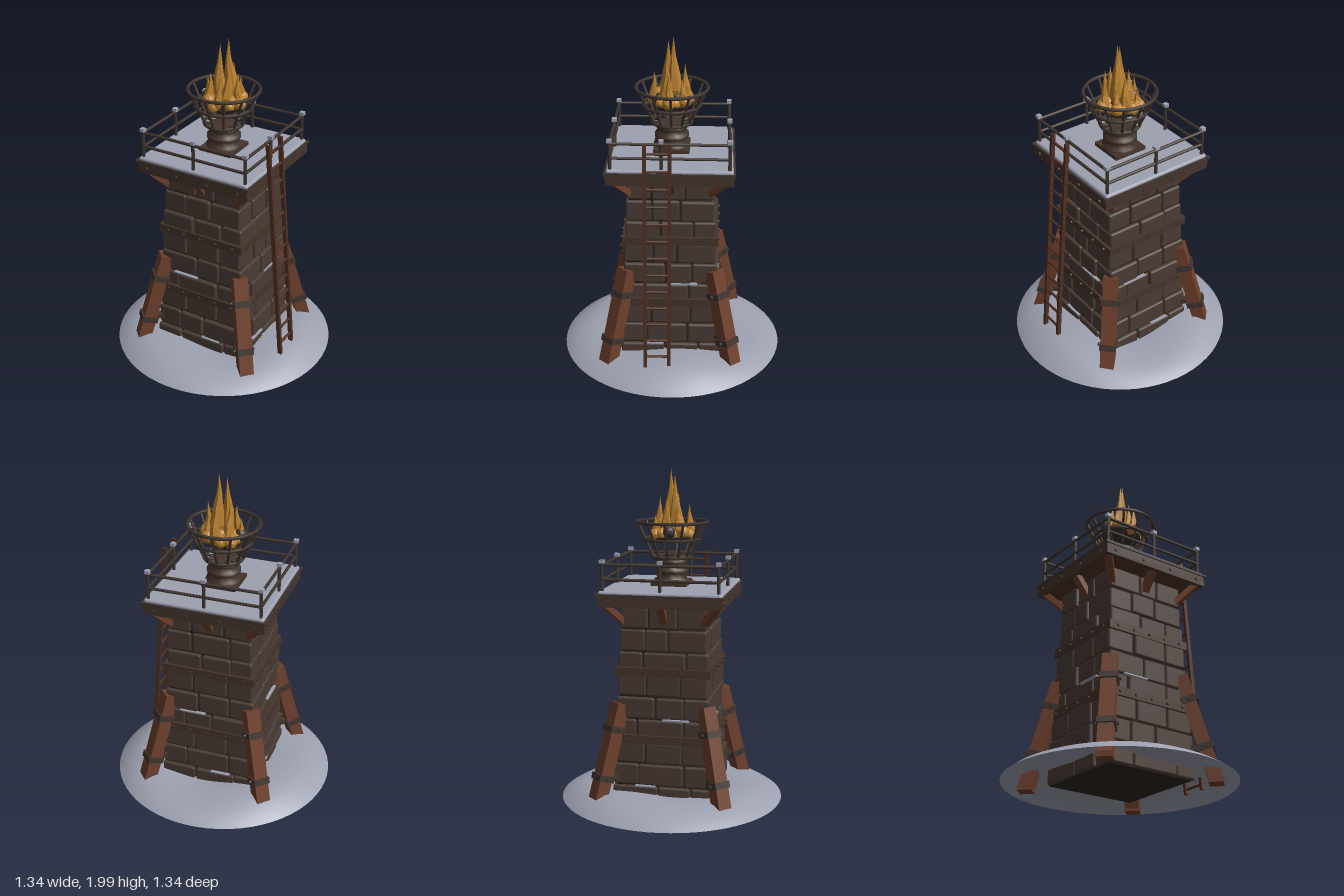
import * as THREE from 'three';
import { mergeVertices } from 'three/addons/utils/BufferGeometryUtils.js';
import { RoundedBoxGeometry } from 'three/addons/geometries/RoundedBoxGeometry.js';

const mat = (name, color, extra = {}) => Object.assign(new THREE.MeshStandardMaterial({ color, ...extra }), { name });

export function createModel() {
  const stone = mat('stone', 0x4a3b34);
  const mortar = mat('mortar', 0x2e2420);
  const iron = mat('iron', 0x40352f);
  const wood = mat('wood', 0x6e402c);
  const darkWood = mat('darkWood', 0x46342b);
  const ladderWood = mat('ladderWood', 0x4f2f22);
  const snow = mat('snow', 0x9da1b0, { side: THREE.DoubleSide });
  const fire = mat('fire', 0xb8802f, { flatShading: true });
  const coal = mat('coal', 0x3a302a, { flatShading: true });

  let seed = 7;
  const rnd = () => (seed = (seed * 16807) % 2147483647) / 2147483647;
  const jit = (a) => (rnd() * 2 - 1) * a;

  const root = new THREE.Group();
  root.name = 'watchtowerBeacon';
  const group = (name, parent = root) => {
    const g = new THREE.Group();
    g.name = name;
    parent.add(g);
    return g;
  };
  const add = (parent, name, geo, material, x = 0, y = 0, z = 0) => {
    const m = new THREE.Mesh(geo, material);
    m.name = name;
    m.position.set(x, y, z);
    parent.add(m);
    return m;
  };
  const box = (parent, name, w, h, d, material, x, y, z) =>
    add(parent, name, new THREE.BoxGeometry(w, h, d), material, x, y, z);
  // Geometry along +y stretched between two points
  const between = (parent, name, a, b, makeGeo, material) => {
    const p = new THREE.Vector3(...a), q = new THREE.Vector3(...b);
    const dir = q.clone().sub(p);
    const m = add(parent, name, makeGeo(dir.length()), material);
    m.position.copy(p).add(q).multiplyScalar(0.5);
    m.quaternion.setFromUnitVectors(new THREE.Vector3(0, 1, 0), dir.normalize());
    return m;
  };
  const beam = (parent, name, a, b, w, d, material) =>
    between(parent, name, a, b, (l) => new THREE.BoxGeometry(w, l, d), material);
  const rod = (parent, name, a, b, r, material) =>
    between(parent, name, a, b, (l) => new THREE.CylinderGeometry(r, r, l, 8), material);
  // Four copies around the tower; local +z points outward
  const fourSides = (name, build, offset = 0, parent = root) => {
    for (let s = 0; s < 4; s++) {
      const g = group(name, parent);
      g.rotation.y = offset + (s * Math.PI) / 2;
      build(g, s);
    }
  };

  // Snow mound: an open shell with gentle drifts
  const profile = [[0.67, 0.03], [0.645, 0.048], [0.61, 0.07], [0.56, 0.092], [0.5, 0.108], [0.42, 0.114], [0.34, 0.11], [0.24, 0.1]];
  let mound = new THREE.LatheGeometry(profile.map(([r, y]) => new THREE.Vector2(r, y)), 64);
  mound.deleteAttribute('uv');
  mound.deleteAttribute('normal');
  const mp = mound.attributes.position;
  for (let i = 0; i < mp.count; i++) {
    const x = mp.getX(i), z = mp.getZ(i), t = Math.atan2(z, x);
    const k = Math.min(1, (0.67 - Math.hypot(x, z)) / 0.17);
    mp.setY(i, mp.getY(i) + k * (0.012 * Math.cos(2 * t) + 0.01 * Math.sin(3 * t + 2.2)));
  }
  mound = mergeVertices(mound);
  mound.computeVertexNormals();
  add(root, 'snowMound', mound, snow);

  // Tapered masonry: nine courses of bevelled blocks laid pinwheel fashion
  const courseH = 0.1333, y0 = 0.03, depth = 0.13, gap = 0.008;
  const halfAt = (y) => 0.303 - 0.052 * ((y - y0) / 1.2);
  const tower = group('stoneTower');
  const core = add(tower, 'mortarCore', new THREE.CylinderGeometry(0.233 * Math.SQRT2, 0.285 * Math.SQRT2, 1.2, 4, 1), mortar, 0, 0.632, 0);
  core.rotation.y = Math.PI / 4;
  for (let c = 0; c < 9; c++) {
    const y = y0 + courseH * (c + 0.5), h = halfAt(y), flip = c % 2 ? -1 : 1;
    const d = depth + (c % 3) * 0.02;
    fourSides('stoneCourse', (g) => {
      const run = 2 * h - d;
      const cut = run * (0.5 + jit(0.14));
      [[0, cut], [cut, run]].forEach(([a, b]) => {
        const w = b - a - gap;
        const geo = new RoundedBoxGeometry(w, courseH - gap, d, 1, 0.012);
        const out = jit(0.006);
        const m = add(g, 'stoneBlock', geo, stone, flip * (-h + (a + b) / 2), y + jit(0.002), h - d / 2 + out);
        m.rotation.y = jit(0.012);
      });
    }, 0, tower);
  }
  // Snow caught on a few ledges
  fourSides('ledgeSnow', (g, s) => {
    box(g, 'ledgeSnow', 0.16, 0.008, 0.02, snow, s % 2 ? 0.08 : -0.1, 0.565, 0.277);
    box(g, 'ledgeSnow', 0.12, 0.008, 0.02, snow, s % 2 ? -0.1 : 0.08, 0.163, 0.294);
  });

  // Riveted bands around the masonry
  [0.445, 0.845].forEach((y) => {
    const h = halfAt(y) + 0.012;
    fourSides('wallBand', (g) => {
      box(g, 'bandPlate', 2 * h, 0.05, 0.02, darkWood, 0, y, h - 0.01);
      for (let i = -2; i <= 2; i++) {
        const b = add(g, 'rivet', new THREE.CylinderGeometry(0.009, 0.009, 0.014, 8), iron, i * 0.11, y, h + 0.004);
        b.rotation.x = Math.PI / 2;
      }
    });
  });

  // Leaning corner buttresses with iron straps
  fourSides('cornerBrace', (g) => {
    const radiusAt = (y) => 0.545 - 0.285 * y;
    beam(g, 'braceTimber', [0, 0.02, radiusAt(0.02)], [0, 0.65, radiusAt(0.65)], 0.085, 0.08, wood);
    [0.215, 0.5].forEach((y) => {
      const r = radiusAt(y);
      const strap = box(g, 'braceStrap', 0.1, 0.038, 0.1, iron, 0, y, r);
      strap.rotation.x = -0.278;
      box(g, 'strapTie', 0.04, 0.03, 0.12, iron, 0, y, r - 0.07);
      [-1, 1].forEach((s) => {
        const b = add(g, 'strapBolt', new THREE.CylinderGeometry(0.01, 0.01, 0.125, 6), iron, s * 0.002, y, r);
        b.rotation.z = Math.PI / 2;
      });
    });
    box(g, 'braceFoot', 0.09, 0.03, 0.085, wood, 0, 0.022, radiusAt(0.02));
  }, Math.PI / 4);

  // Platform with edge beams, struts and snow
  const platform = group('platform');
  box(platform, 'deck', 0.69, 0.055, 0.69, ladderWood, 0, 1.27, 0);
  fourSides('platformEdge', (g) => {
    box(g, 'edgeBeam', 0.72, 0.062, 0.03, darkWood, 0, 1.265, 0.347);
    box(g, 'edgeLip', 0.745, 0.014, 0.016, iron, 0, 1.302, 0.362);
    [-0.3, -0.1, 0.1, 0.3].forEach((x) => {
      const b = add(g, 'edgeBolt', new THREE.CylinderGeometry(0.01, 0.01, 0.014, 8), iron, x, 1.265, 0.364);
      b.rotation.x = Math.PI / 2;
    });
    beam(g, 'sideStrut', [0, 1.135, 0.235], [0, 1.245, 0.32], 0.045, 0.035, wood);
  }, 0, platform);
  fourSides('cornerStrut', (g) =>
    beam(g, 'cornerStrut', [0, 1.13, 0.33], [0, 1.25, 0.465], 0.045, 0.035, wood), Math.PI / 4, platform);
  add(platform, 'deckSnow', new RoundedBoxGeometry(0.715, 0.034, 0.715, 2, 0.014), snow, 0, 1.309, 0);

  // Railing with snow-capped posts
  fourSides('railing', (g, s) => {
    const mid = s === 1 ? -0.048 : 0;
    [-0.335, mid].forEach((x) => {
      rod(g, 'railPost', [x, 1.3, 0.335], [x, 1.49, 0.335], 0.01, iron);
      box(g, 'postCap', 0.028, 0.02, 0.028, snow, x, 1.492, 0.335);
    });
    [1.39, 1.475].forEach((y) => rod(g, 'handRail', [-0.335, y, 0.335], [0.335, y, 0.335], 0.009, iron));
  });

  // Ladder leaning on the left side
  const ladder = group('ladder');
  const ladderX = (y) => 0.487 - (y - 0.05) * 0.083;
  [0, 0.14].forEach((z) => beam(ladder, 'ladderRail', [ladderX(0.05), 0.05, z], [ladderX(1.485), 1.485, z], 0.024, 0.02, ladderWood));
  for (let i = 0; i < 14; i++) {
    const y = 0.08 + i * 0.104;
    rod(ladder, 'rung', [ladderX(y), y, 0], [ladderX(y), y, 0.14], 0.008, ladderWood);
  }

  // Brazier pedestal
  const brazier = group('brazier');
  box(brazier, 'pedestalPlate', 0.21, 0.025, 0.21, darkWood, 0, 1.336, 0);
  const ped = [[0, 1.34], [0.105, 1.34], [0.105, 1.36], [0.09, 1.365], [0.085, 1.395], [0.1, 1.4], [0.1, 1.42], [0.083, 1.425], [0.08, 1.45], [0.092, 1.455], [0.092, 1.475], [0.075, 1.485], [0, 1.49]];
  const pedGeo = new THREE.LatheGeometry(ped.map(([r, y]) => new THREE.Vector2(r, y)), 16);
  add(brazier, 'pedestal', pedGeo, darkWood);
  // Open basket of rings and ribs
  [[0.115, 1.49], [0.165, 1.595], [0.208, 1.695]].forEach(([r, y]) => {
    const ring = add(brazier, 'basketRing', new THREE.TorusGeometry(r, 0.01, 6, 32), iron, 0, y, 0);
    ring.rotation.x = Math.PI / 2;
  });
  for (let i = 0; i < 12; i++) {
    const a = (i / 12) * Math.PI * 2, c = Math.cos(a), s = Math.sin(a);
    rod(brazier, 'basketRib', [0.112 * c, 1.488, 0.112 * s], [0.208 * c, 1.697, 0.208 * s], 0.008, iron);
    rod(brazier, 'basketSpoke', [0.06 * c, 1.48, 0.06 * s], [0.112 * c, 1.488, 0.112 * s], 0.008, iron);
  }
  add(brazier, 'coalBed', new THREE.CylinderGeometry(0.13, 0.1, 0.03, 12), coal, 0, 1.595, 0);

  // Glowing embers and dark coals
  for (let i = 0; i < 22; i++) {
    const a = i * 2.4, r = 0.024 * Math.sqrt(i + 0.5);
    const m = add(brazier, 'ember', new THREE.IcosahedronGeometry(0.034 + jit(0.006), 1), i % 6 === 5 ? coal : fire, r * Math.cos(a), 1.632 + jit(0.012), r * Math.sin(a));
    m.rotation.set(rnd() * 3, rnd() * 3, 0);
  }
  // Flames: x, z, tip height, width
  const flames = [[0.025, -0.01, 2.0, 0.045], [-0.012, 0.02, 1.97, 0.042], [0.045, 0.03, 1.86, 0.036], [-0.045, -0.02, 1.83, 0.036], [0.1, 0.01, 1.82, 0.026], [-0.06, 0.05, 1.8, 0.03], [0.02, -0.075, 1.84, 0.032], [-0.1, 0.0, 1.75, 0.022], [0.03, 0.1, 1.8, 0.026], [0.07, -0.06, 1.77, 0.026], [-0.05, -0.09, 1.74, 0.022]];
  flames.forEach(([x, z, tip, w], i) => {
    const h = tip - 1.61;
    const pts = [[0, 0], [0.7, 0.06], [1, 0.22], [0.72, 0.45], [0.32, 0.72], [0, 1]];
    const geo = new THREE.LatheGeometry(pts.map(([r, t]) => new THREE.Vector2(r * w, t * h)), 6);
    const p = geo.attributes.position;
    for (let k = 0; k < p.count; k++) {
      const t = p.getY(k) / h, sway = 0.012 * Math.sin(t * 5 + i * 2) * (1 - t);
      p.setX(k, p.getX(k) + sway);
      p.setZ(k, p.getZ(k) - sway);
    }
    geo.computeVertexNormals();
    add(brazier, 'flame', geo, fire, x, 1.61, z).rotation.y = 0;
  });
  return root;
}
